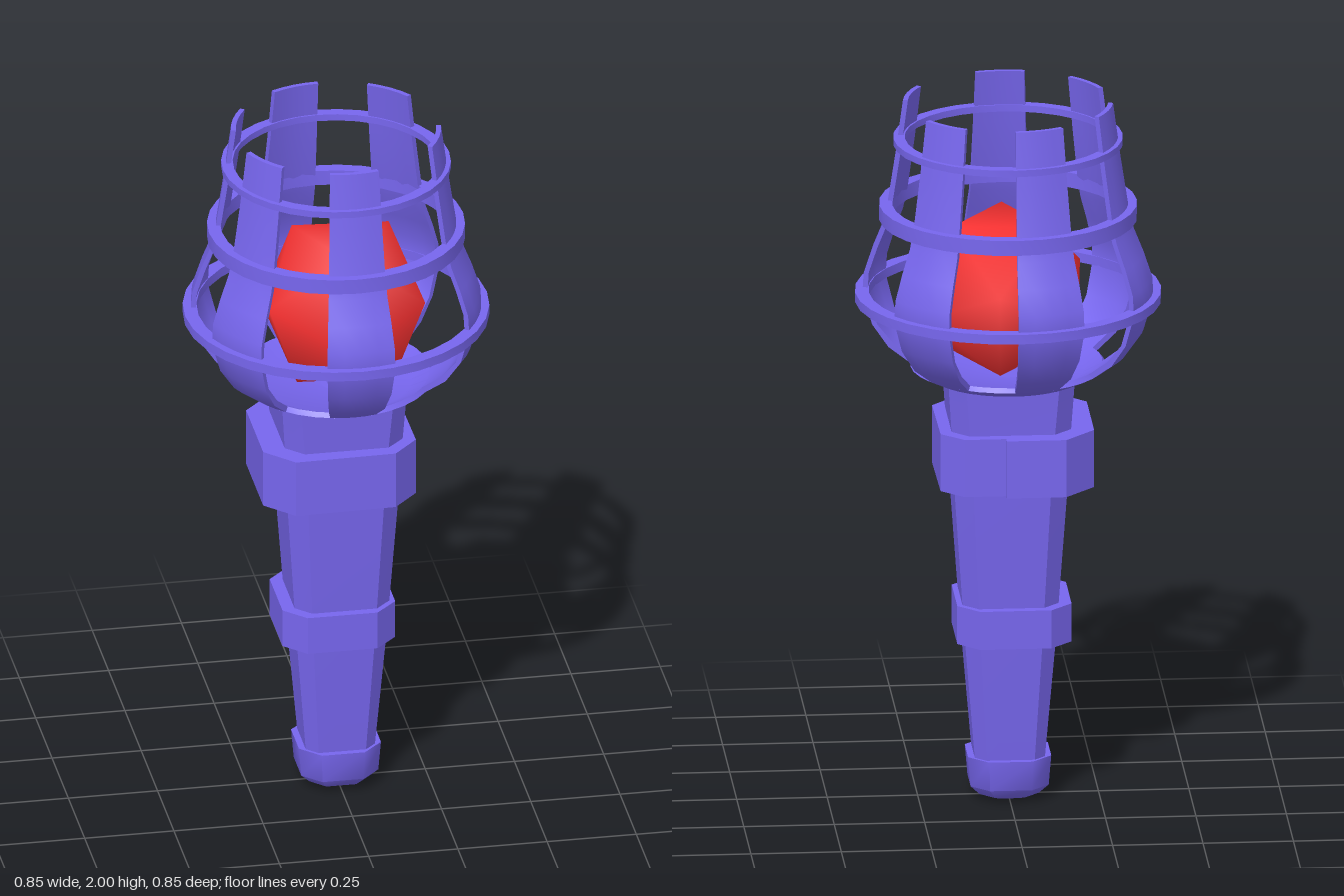
import * as THREE from 'three';
import { toCreasedNormals, mergeGeometries } from 'three/addons/utils/BufferGeometryUtils.js';
import { ConvexGeometry } from 'three/addons/geometries/ConvexGeometry.js';

const purple = new THREE.MeshStandardMaterial({ color: 0x7766ee, side: THREE.DoubleSide });
const red = new THREE.MeshStandardMaterial({ color: 0xff3333 });

// Square with cut corners, in x and z
function chamferedSquare(half, cut, cx = 0) {
  const a = half, b = half - cut;
  return [[a, -b], [a, b], [b, a], [-b, a], [-a, b], [-a, -b], [-b, -a], [b, -a]]
    .map(([x, z]) => [x + cx, z]);
}

// Skin over stacked outlines [y, outline], closed at both ends
function loft(rows, crease) {
  const pos = [], idx = [], n = rows[0][1].length;
  rows.forEach(([y, ring]) => ring.forEach(([x, z]) => pos.push(x, y, z)));
  const last = (rows.length - 1) * n, bottom = rows.length * n, top = bottom + 1;
  pos.push(0, rows[0][0], 0, 0, rows.at(-1)[0], 0);
  for (let i = 0; i < n; i++) {
    const j = (i + 1) % n;
    for (let r = 0; r < last; r += n) {
      idx.push(r + i, r + n + i, r + j, r + j, r + n + i, r + n + j);
    }
    idx.push(bottom, i, j, top, last + j, last + i);
  }
  const g = new THREE.BufferGeometry();
  g.setAttribute('position', new THREE.Float32BufferAttribute(pos, 3));
  g.setIndex(idx);
  return toCreasedNormals(g, crease);
}

// Closed profile swept through part of a turn, with flat ends
function sweep(points, start, length, segments) {
  const profile = points.map(([x, y]) => new THREE.Vector2(x, y));
  const parts = [new THREE.LatheGeometry([...profile, profile[0]], segments, start, length)];
  if (length < Math.PI * 2) {
    for (const angle of [start, start + length]) {
      parts.push(new THREE.ShapeGeometry(new THREE.Shape(profile)).rotateY(angle - Math.PI / 2));
    }
  }
  return toCreasedNormals(mergeGeometries(parts), 0.6);
}

export function createModel() {
  const model = new THREE.Group();
  const add = (name, geometry, material = purple) => {
    const mesh = new THREE.Mesh(geometry, material);
    mesh.name = name;
    model.add(mesh);
  };

  // Tapered handle and rounded foot
  add('handle', loft([
    [0.1, chamferedSquare(0.095, 0.03)],
    [0.46, chamferedSquare(0.125, 0.04)],
    [0.92, chamferedSquare(0.157, 0.05)],
    [1.08, chamferedSquare(0.165, 0.048)],
    [1.215, chamferedSquare(0.174, 0.046)],
  ], 0.6));
  add('footCap', loft([
    [0, chamferedSquare(0.05, 0.025)],
    [0.012, chamferedSquare(0.082, 0.04)],
    [0.04, chamferedSquare(0.108, 0.05)],
    [0.125, chamferedSquare(0.115, 0.055)],
  ], 0.9));

  // Lower band, and upper strap whose end overlaps its start at the back
  const band = chamferedSquare(0.158, 0.06, -0.01);
  add('lowerBand', loft([[0.465, band], [0.575, band]], 0.6));
  const strap = [[0.02, -0.195], [0.135, -0.195], [0.197, -0.135], [0.2, 0.13], [0.13, 0.205],
    [-0.15, 0.21], [-0.228, 0.13], [-0.228, -0.13], [-0.145, -0.217], [0.02, -0.217]];
  add('upperStrap', loft([[0.92, strap], [1.085, strap]], 0.6));

  // Dish under the cage
  add('dish', sweep([[0, 1.2], [0.17, 1.2], [0.22, 1.215], [0.27, 1.24],
    [0.26, 1.252], [0.21, 1.227], [0, 1.212]], 0, Math.PI * 2, 32));

  // Six curved cage ribs
  const outer = [[0.22, 1.215], [0.27, 1.24], [0.33, 1.285], [0.375, 1.35], [0.402, 1.44],
    [0.398, 1.5], [0.375, 1.57], [0.347, 1.64], [0.333, 1.7], [0.31, 1.85], [0.29, 2]];
  const inner = outer.map(([x, y]) => [x - 0.014, y < 1.3 ? y + 0.01 : y]).reverse();
  const rib = [...outer, ...inner];
  const halfWidth = THREE.MathUtils.degToRad(13.7);
  for (const degrees of [0, 69.5, 138, 193.5, 249, 305]) {
    const angle = THREE.MathUtils.degToRad(degrees);
    add('cageRib', sweep(rib, angle - halfWidth, halfWidth * 2, 4));
  }

  // Hoops around the ribs: inner radius, outer radius, bottom, top
  for (const [r0, r1, y0, y1] of [
    [0.385, 0.423, 1.43, 1.457], [0.32, 0.356, 1.665, 1.708], [0.285, 0.317, 1.88, 1.899],
  ]) {
    add('cageHoop', sweep([[r0, y0], [r1, y0], [r1, y1], [r0, y1]], 0, Math.PI * 2, 32));
  }

  // Twenty-sided gem: four layers of three corners, shaded round
  const corners = [];
  for (const [r, y, turn] of [[0.155, 0.203, 0], [0.25, 0.048, 60], [0.25, -0.048, 0], [0.155, -0.203, 60]]) {
    for (let i = 0; i < 3; i++) {
      const a = THREE.MathUtils.degToRad(turn + i * 120 - 5);
      corners.push(new THREE.Vector3(r * Math.sin(a), y, r * Math.cos(a)));
    }
  }
  const gem = new ConvexGeometry(corners);
  gem.setAttribute('normal', gem.attributes.position.clone());
  gem.normalizeNormals();
  add('gem', gem.translate(0.02, 1.46, -0.005), red);

  return model;
}
